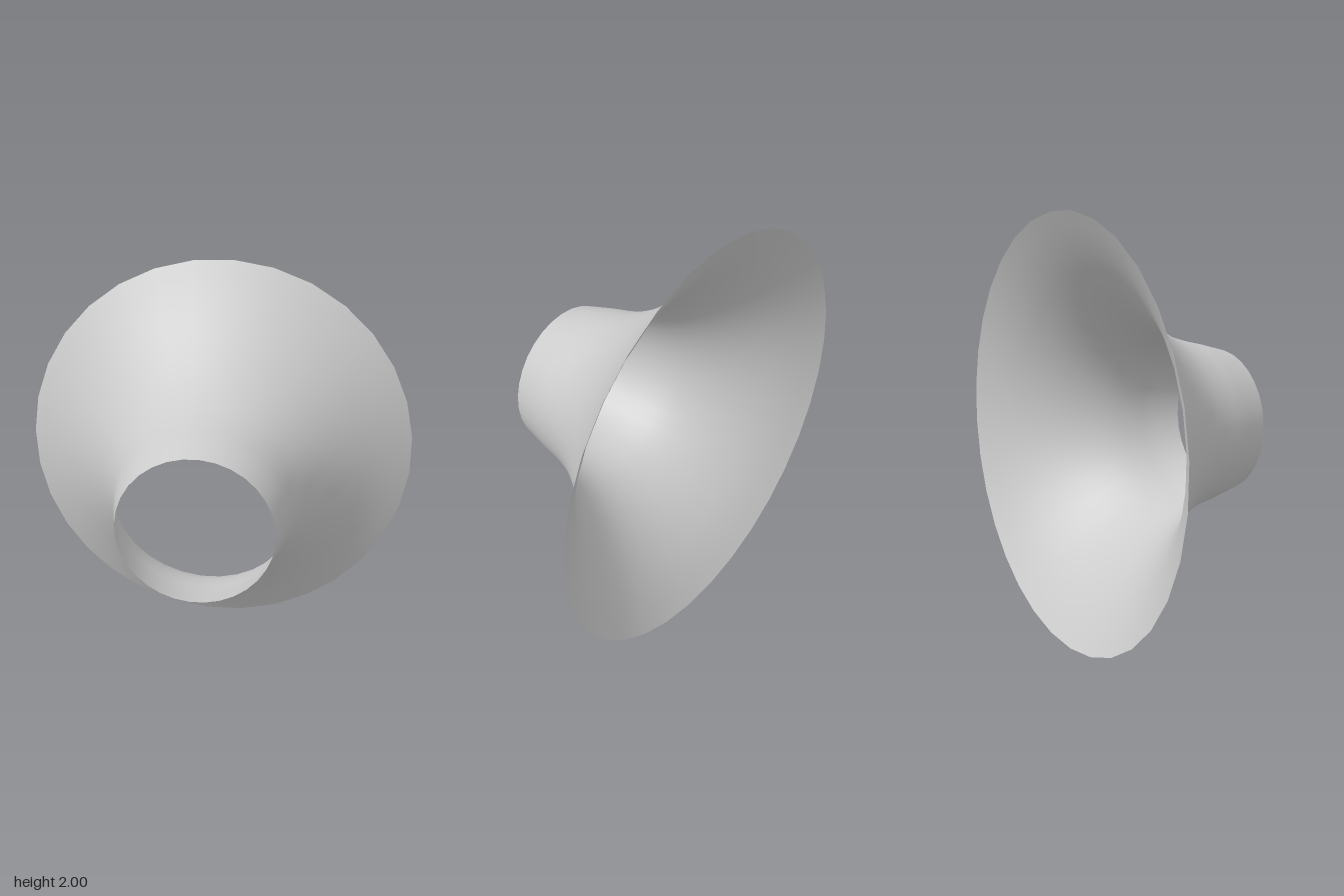
import * as THREE from 'three';

export function createModel() {
  const group = new THREE.Group();

  // Flared profile: radius against depth, from the wide back rim to the narrow front mouth
  const profile = new THREE.SplineCurve([
    [1.0, -0.452], [0.885, -0.38], [0.775, -0.3], [0.663, -0.2], [0.572, -0.1], [0.5, 0],
    [0.447, 0.1], [0.415, 0.2], [0.394, 0.3], [0.356, 0.452],
  ].map(([r, z]) => new THREE.Vector2(r, z)));

  // Open thin shell, turned so its axis runs front to back
  const sides = 32;
  const geometry = new THREE.LatheGeometry(
    profile.getPoints(32), sides, THREE.MathUtils.degToRad(-3.75), Math.PI * 2);
  geometry.rotateX(Math.PI / 2);
  geometry.translate(0, 1, 0);

  const horn = new THREE.Mesh(geometry, new THREE.MeshStandardMaterial({
    color: 0xcccccc, side: THREE.DoubleSide,
  }));
  horn.name = 'flaredHorn';
  group.add(horn);
  return group;
}
